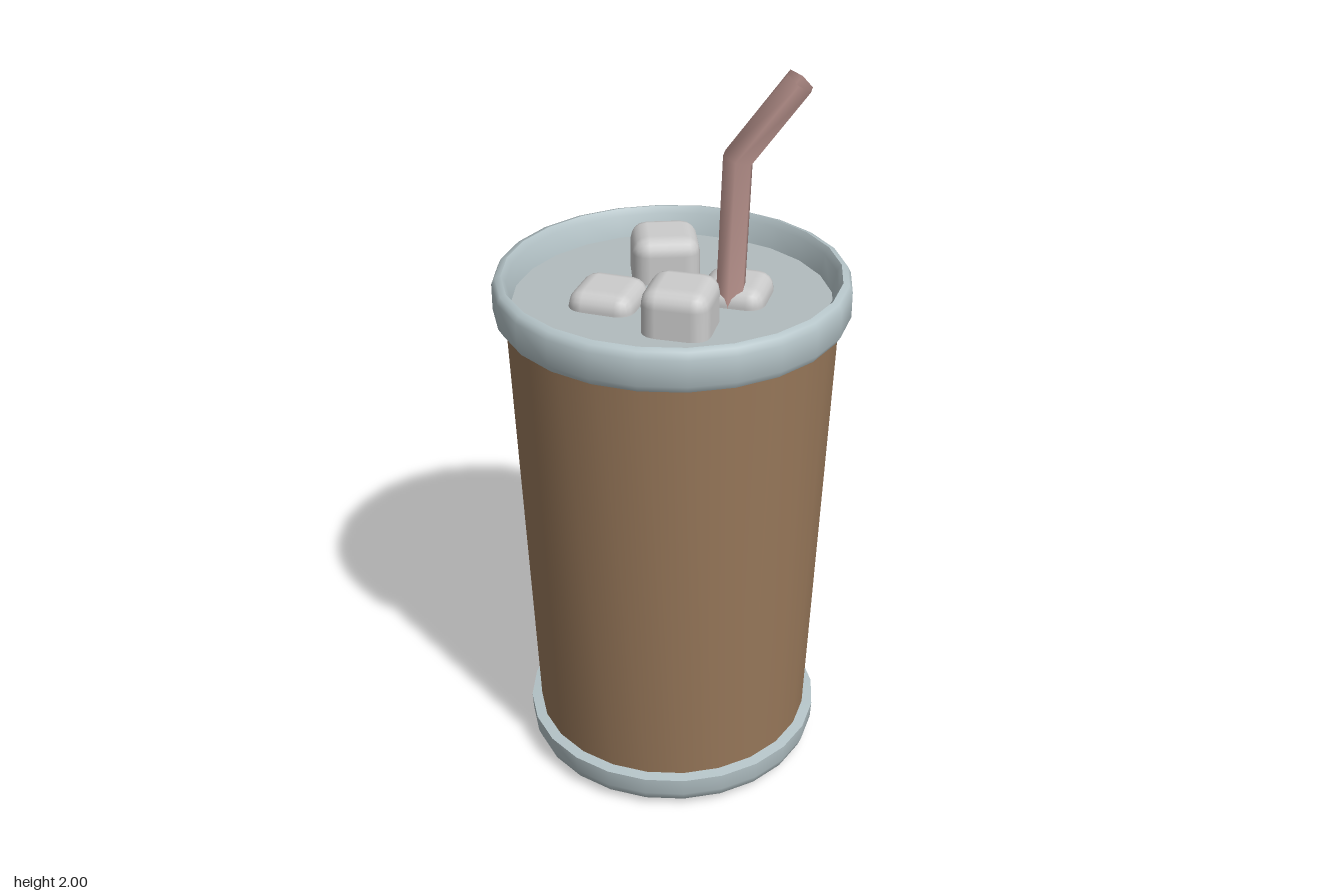
import * as THREE from 'three';
import { mergeVertices, toCreasedNormals } from 'three/addons/utils/BufferGeometryUtils.js';
import { RoundedBoxGeometry } from 'three/addons/geometries/RoundedBoxGeometry.js';

const SIDES = 24;

function material(color, side = THREE.FrontSide) {
  return new THREE.MeshStandardMaterial({ color, side });
}

// Turned part from [radius, height] pairs
function turned(name, profile, mat) {
  const points = profile.map(([r, y]) => new THREE.Vector2(r, y));
  const geometry = toCreasedNormals(new THREE.LatheGeometry(points, SIDES), 0.9);
  const mesh = new THREE.Mesh(geometry, mat);
  mesh.name = name;
  return mesh;
}

// Six-sided open tube whose three rings follow a bent path with a mitred joint
function makeStraw() {
  const rings = [
    { x: 0.15, y: 1.33, tilt: 0.03, stretch: 1 },
    { x: 0.165, y: 1.775, tilt: 0.33, stretch: 1.05 },
    { x: 0.313, y: 1.98, tilt: 0.63, stretch: 1 },
  ];
  const geometry = new THREE.CylinderGeometry(0.04, 0.04, 2, 6, 2, true);
  const pos = geometry.attributes.position;
  for (let i = 0; i < pos.count; i++) {
    const ring = rings[Math.round(pos.getY(i)) + 1];
    const across = pos.getX(i) * ring.stretch;
    pos.setX(i, ring.x + across * Math.cos(ring.tilt));
    pos.setY(i, ring.y - across * Math.sin(ring.tilt));
  }
  geometry.deleteAttribute('uv');
  geometry.deleteAttribute('normal');
  const welded = mergeVertices(geometry);
  welded.computeVertexNormals();
  const mesh = new THREE.Mesh(welded, material(0xc49c96, THREE.DoubleSide));
  mesh.name = 'straw';
  return mesh;
}

export function createModel() {
  const model = new THREE.Group();
  model.name = 'icedDrink';
  const trim = material(0xb5c4c8);

  // Tapered cup wall
  model.add(turned('cupWall', [[0.386, 0.08], [0.437, 1.37]], material(0x98785a)));

  // Closed base with a rounded lower edge
  model.add(turned('base', [
    [0, 0], [0.375, 0], [0.403, 0.025], [0.413, 0.05], [0.416, 0.1], [0.38, 0.105],
  ], trim));

  // Raised rim, running round the outside and down to the drink
  model.add(turned('rim', [
    [0.425, 1.342], [0.455, 1.345], [0.467, 1.365], [0.467, 1.435],
    [0.458, 1.453], [0.442, 1.458], [0.43, 1.44], [0.418, 1.37],
  ], trim));

  // Drink surface
  const drink = new THREE.Mesh(new THREE.CircleGeometry(0.422, SIDES), material(0xb2bcbe));
  drink.name = 'drinkSurface';
  drink.rotation.x = -Math.PI / 2;
  drink.position.y = 1.38;
  model.add(drink);

  // Floating ice cubes: x, centre height, z, turn
  const ice = new THREE.Group();
  ice.name = 'iceCubes';
  const cube = new RoundedBoxGeometry(0.18, 0.17, 0.18, 2, 0.045);
  const iceMaterial = material(0xcccccc);
  [
    [-0.05, 1.418, -0.16, 0.26],
    [0.16, 1.345, -0.05, -0.09],
    [-0.16, 1.345, 0.047, -0.13],
    [0.05, 1.418, 0.157, -0.07],
  ].forEach(([x, y, z, turn]) => {
    const mesh = new THREE.Mesh(cube, iceMaterial);
    mesh.name = 'iceCube';
    mesh.position.set(x, y, z);
    mesh.rotation.y = turn;
    ice.add(mesh);
  });
  model.add(ice);

  model.add(makeStraw());
  return model;
}
